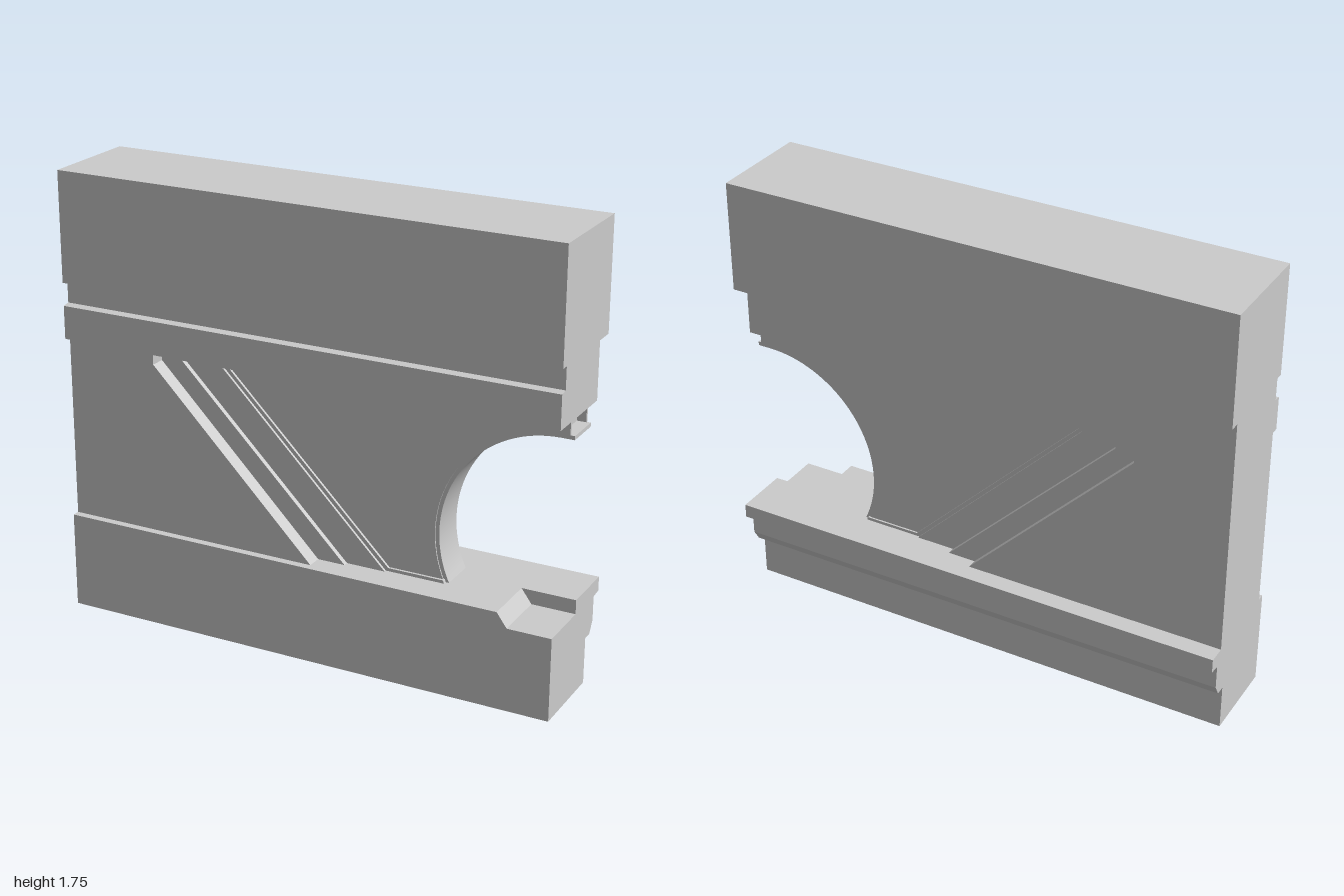
import * as THREE from 'three';
import { toCreasedNormals } from 'three/addons/utils/BufferGeometryUtils.js';

const grey = new THREE.MeshStandardMaterial({ color: 0xcccccc });

export function createModel() {
  const model = new THREE.Group();

  const add = (name, geometry) => {
    const mesh = new THREE.Mesh(geometry, grey);
    mesh.name = name;
    model.add(mesh);
  };
  const toShape = (points) => new THREE.Shape(points.map(([a, b]) => new THREE.Vector2(a, b)));

  // Box between two corners
  const block = (name, x0, x1, y0, y1, z0, z1) => {
    const g = new THREE.BoxGeometry(x1 - x0, y1 - y0, z1 - z0);
    add(name, g.translate((x0 + x1) / 2, (y0 + y1) / 2, (z0 + z1) / 2));
  };
  // Outline in (x, y), extruded from z0 to z1
  const slab = (name, points, z0, z1) => {
    const g = new THREE.ExtrudeGeometry(toShape(points), { depth: z1 - z0, bevelEnabled: false });
    add(name, toCreasedNormals(g.translate(0, 0, z0), 0.5));
  };
  // Profile in (z, y), extruded over the whole length
  const moulding = (name, points) => {
    const g = new THREE.ExtrudeGeometry(toShape(points), { depth: 2, bevelEnabled: false });
    add(name, g.rotateY(-Math.PI / 2).translate(1, 0, 0));
  };
  // Arch edge from its foot on the sill up to the crown
  const arch = (r) => {
    const points = [];
    const foot = Math.PI + Math.asin(0.19 / r);
    for (let i = 0; i <= 36; i++) {
      const a = foot + (Math.PI / 2 - foot) * (i / 36);
      points.push([0.95 + r * Math.cos(a), 0.57 + r * Math.sin(a)]);
    }
    return points;
  };

  // Plinth
  block('plinth', -1, 1, 0, 0.18, -0.11, 0.22);

  // Sill: moulded back half, front half with a sunk corner
  moulding('sillBack', [
    [0, 0.18], [0, 0.38], [-0.22, 0.38], [-0.22, 0.325],
    [-0.175, 0.32], [-0.175, 0.225], [-0.148, 0.18],
  ]);
  slab('sillFront', [
    [-1, 0.18], [1, 0.18], [1, 0.325], [0.83, 0.325], [0.79, 0.38], [-1, 0.38],
  ], 0, 0.22);

  // Upper beam with a groove along its front
  moulding('beam', [
    [-0.11, 1.1], [0.22, 1.1], [0.22, 1.23], [0.19, 1.235], [0.19, 1.32],
    [0.22, 1.32], [0.22, 1.75], [-0.19, 1.75], [-0.19, 1.32], [-0.11, 1.32],
  ]);

  // Thick wall and the part that runs up behind the beam
  slab('wall', [[-1, 0.38], [0.03, 0.38], [-0.63, 1.05], [-0.63, 1.1], [-1, 1.1]], -0.15, 0.19);
  block('wallTop', -1, -0.63, 1.1, 1.32, -0.15, -0.1);

  // Diagonal steps down to the thin panel
  slab('outerStep', [
    [0.03, 0.38], [0.14, 0.38], [-0.54, 1.06], [-0.54, 1.1], [-0.63, 1.1], [-0.63, 1.05],
  ], -0.11, 0.13);
  slab('innerStep', [
    [0.14, 0.38], [0.295, 0.38], [-0.39, 1.065], [-0.39, 1.1], [-0.54, 1.1], [-0.54, 1.06],
  ], -0.08, 0.11);
  slab('panelBorder', [
    [0.295, 0.38], [0.53, 0.38], [0.525, 0.392], [0.305, 0.392],
    [-0.375, 1.07], [-0.375, 1.1], [-0.39, 1.1], [-0.39, 1.065],
  ], -0.072, 0.1);

  // Panel cut by the arch, with a slim rim along the cut
  slab('panel', [
    [0.295, 0.38], ...arch(0.465), [0.95, 1.1], [-0.39, 1.1], [-0.39, 1.065],
  ], -0.065, 0.09);
  slab('archRim', [
    ...arch(0.45), [1, 1.02], [1, 1.035], ...arch(0.465).reverse(),
  ], -0.06, 0.085);

  // Thin cheeks and lid of the socket at the panel's end
  block('socketFront', 0.95, 0.985, 1.035, 1.1, 0.08, 0.09);
  block('socketBack', 0.95, 0.985, 1.035, 1.1, -0.065, -0.055);
  block('socketLid', 0.95, 0.985, 1.092, 1.1, -0.055, 0.08);

  return model;
}
